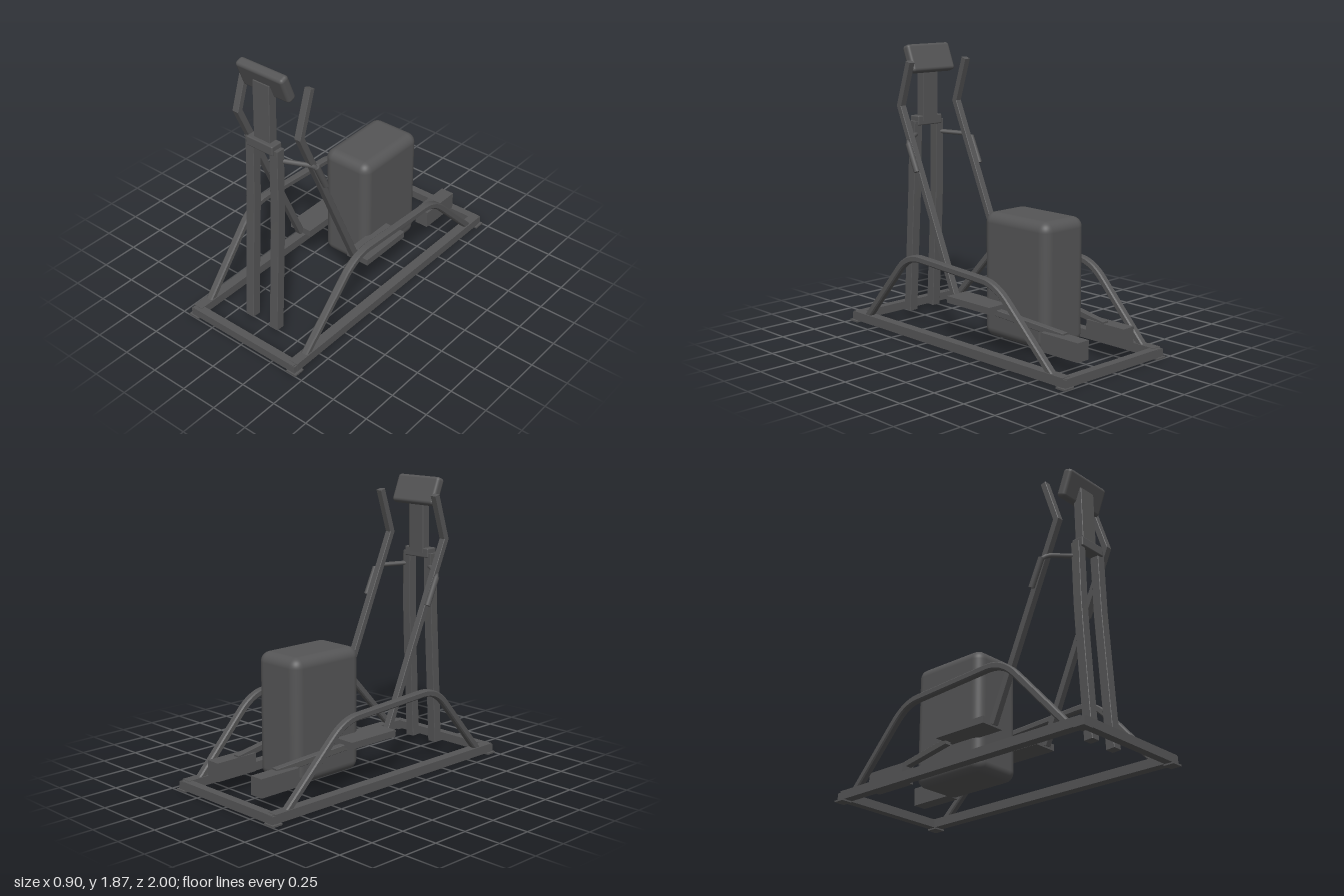
import * as THREE from 'three';
import { toCreasedNormals } from 'three/addons/utils/BufferGeometryUtils.js';
import { RoundedBoxGeometry } from 'three/addons/geometries/RoundedBoxGeometry.js';

const steel = new THREE.MeshStandardMaterial({ color: 0x555556 });
steel.name = 'dark grey steel';

function add(group, name, geometry, x = 0, y = 0, z = 0) {
  const mesh = new THREE.Mesh(geometry, steel);
  mesh.name = name;
  mesh.position.set(x, y, z);
  group.add(mesh);
  return mesh;
}

// Box given by its lower and upper corners
function box(group, name, [x0, y0, z0], [x1, y1, z1]) {
  return add(group, name, new THREE.BoxGeometry(x1 - x0, y1 - y0, z1 - z0),
    (x0 + x1) / 2, (y0 + y1) / 2, (z0 + z1) / 2);
}

// Chamfered rectangular bar (w along x, d across) swept and mitred along [x, y, z] points
function barGeometry(path, w, d, chamfer = 0.003) {
  const a = w / 2, b = d / 2, c = chamfer;
  const section = [[a, c - b], [a, b - c], [a - c, b], [c - a, b],
    [-a, b - c], [-a, c - b], [c - a, -b], [a - c, -b]];
  const n = section.length, positions = [], index = [];
  const direction = (p, q) => new THREE.Vector2(q[1] - p[1], q[2] - p[2]).normalize();
  path.forEach((p, i) => {
    const before = direction(path[Math.max(i - 1, 0)], path[Math.max(i, 1)]);
    const last = path.length - 1;
    const after = direction(path[Math.min(i, last - 1)], path[Math.min(i + 1, last)]);
    const t = before.clone().add(after).normalize();
    const mitre = 1 / t.dot(before);
    for (const [u, v] of section) {
      positions.push(p[0] + u, p[1] + t.y * v * mitre, p[2] - t.x * v * mitre);
    }
  });
  for (let i = 0; i < path.length - 1; i++) {
    for (let j = 0; j < n; j++) {
      const k = (j + 1) % n, r = i * n, s = r + n;
      index.push(r + j, r + k, s + k, r + j, s + k, s + j);
    }
  }
  const end = (path.length - 1) * n;
  for (let j = 1; j < n - 1; j++) {
    index.push(0, j + 1, j, end, end + j, end + j + 1);
  }
  const geometry = new THREE.BufferGeometry();
  geometry.setAttribute('position', new THREE.Float32BufferAttribute(positions, 3));
  geometry.setIndex(index);
  return toCreasedNormals(geometry, 0.5);
}

// Points round a bend from a to c with its corner at b
function bend(a, b, c) {
  const v = (p) => new THREE.Vector2(...p);
  return new THREE.QuadraticBezierCurve(v(a), v(b), v(c)).getPoints(8).map((p) => [p.x, p.y]);
}

function createSide(s) {
  const side = new THREE.Group();
  side.name = s > 0 ? 'leftSide' : 'rightSide';
  const bar = (name, path, w, d, chamfer) =>
    add(side, name, barGeometry(path.map(([x, y, z]) => [s * x, y, z]), w, d, chamfer));
  const block = (name, [x0, y0, z0], [x1, y1, z1]) =>
    box(side, name, [Math.min(s * x0, s * x1), y0, z0], [Math.max(s * x0, s * x1), y1, z1]);

  // Base rail and its feet
  block('baseRail', [0.373, 0.01, -0.965], [0.438, 0.068, 0.965]);
  for (const z of [-0.963, 0.963]) {
    block('footPlate', [0.375, 0, z - 0.037], [0.452, 0.011, z + 0.037]);
    block('railEndCap', [0.38, 0.008, z - 0.028], [0.435, 0.06, z + 0.028]);
  }

  // Arched side guard, leaning slightly outward
  const arch = [[0.855, 0.05],
    ...bend([0.5, 0.443], [0.405, 0.55], [0.28, 0.547]),
    ...bend([-0.3, 0.516], [-0.41, 0.51], [-0.51, 0.405]),
    [-0.86, 0.05]];
  bar('sideGuard', arch.map(([z, y]) => [0.402 + 0.045 * y, y, z]), 0.048, 0.044, 0.008);

  // Upright post
  bar('uprightPost', [[0.101, 0.06, 0.777], [0.099, 0.75, 0.735], [0.097, 0.95, 0.724],
    [0.093, 1.36, 0.714]], 0.064, 0.062);

  // Swinging arm with bent handle
  bar('swingArm', [[0.241, 0.28, 0.155], [0.241, 1.475, 0.68], [0.241, 1.765, 0.585]], 0.046, 0.04);

  // Foot platform, connecting link and rear block
  block('footPlatform', [0.158, 0.27, -0.24], [0.326, 0.314, 0.15]);
  bar('connectingLink', [[0.24, 0.268, -0.22], [0.178, 0.213, -0.745]], 0.044, 0.04);
  block('rearBlock', [0.155, 0.103, -0.91], [0.25, 0.222, -0.607]);

  // Fixed side handle and grip
  const v = (x, y, z) => new THREE.Vector3(s * x, y, z);
  const path = new THREE.CurvePath();
  path.add(new THREE.LineCurve3(v(0.1, 1.275, 0.7), v(0.23, 1.257, 0.615)));
  path.add(new THREE.QuadraticBezierCurve3(v(0.23, 1.257, 0.615), v(0.274, 1.25, 0.583), v(0.274, 1.21, 0.561)));
  path.add(new THREE.LineCurve3(v(0.274, 1.21, 0.561), v(0.274, 1.08, 0.5)));
  add(side, 'fixedHandle', new THREE.TubeGeometry(path, 32, 0.015, 10));
  const from = v(0.274, 1.24, 0.574), to = v(0.274, 1.063, 0.491);
  const grip = add(side, 'handleGrip', new THREE.CylinderGeometry(0.02, 0.02, from.distanceTo(to), 12));
  grip.position.copy(from).lerp(to, 0.5);
  grip.quaternion.setFromUnitVectors(new THREE.Vector3(0, 1, 0), from.clone().sub(to).normalize());
  return side;
}

export function createModel() {
  const model = new THREE.Group();
  model.name = 'ellipticalTrainer';
  model.add(createSide(1), createSide(-1));

  // Front and rear cross bars
  for (const z of [-0.963, 0.963]) {
    box(model, z > 0 ? 'frontCrossBar' : 'rearCrossBar', [-0.425, 0.01, z - 0.027], [0.425, 0.065, z + 0.027]);
  }

  // Drive housing
  add(model, 'driveHousing', new RoundedBoxGeometry(0.356, 0.803, 0.552, 5, 0.065), -0.003, 0.464, -0.296);

  // Collar, neck and console
  add(model, 'collar', new RoundedBoxGeometry(0.204, 0.064, 0.084, 2, 0.008), -0.002, 1.362, 0.717);
  add(model, 'neck', barGeometry([[-0.002, 1.36, 0.704], [-0.002, 1.768, 0.697]], 0.126, 0.062));
  const console = add(model, 'console', new RoundedBoxGeometry(0.36, 0.19, 0.066, 4, 0.022), -0.003, 1.772, 0.684);
  console.rotation.x = 0.375;
  return model;
}
